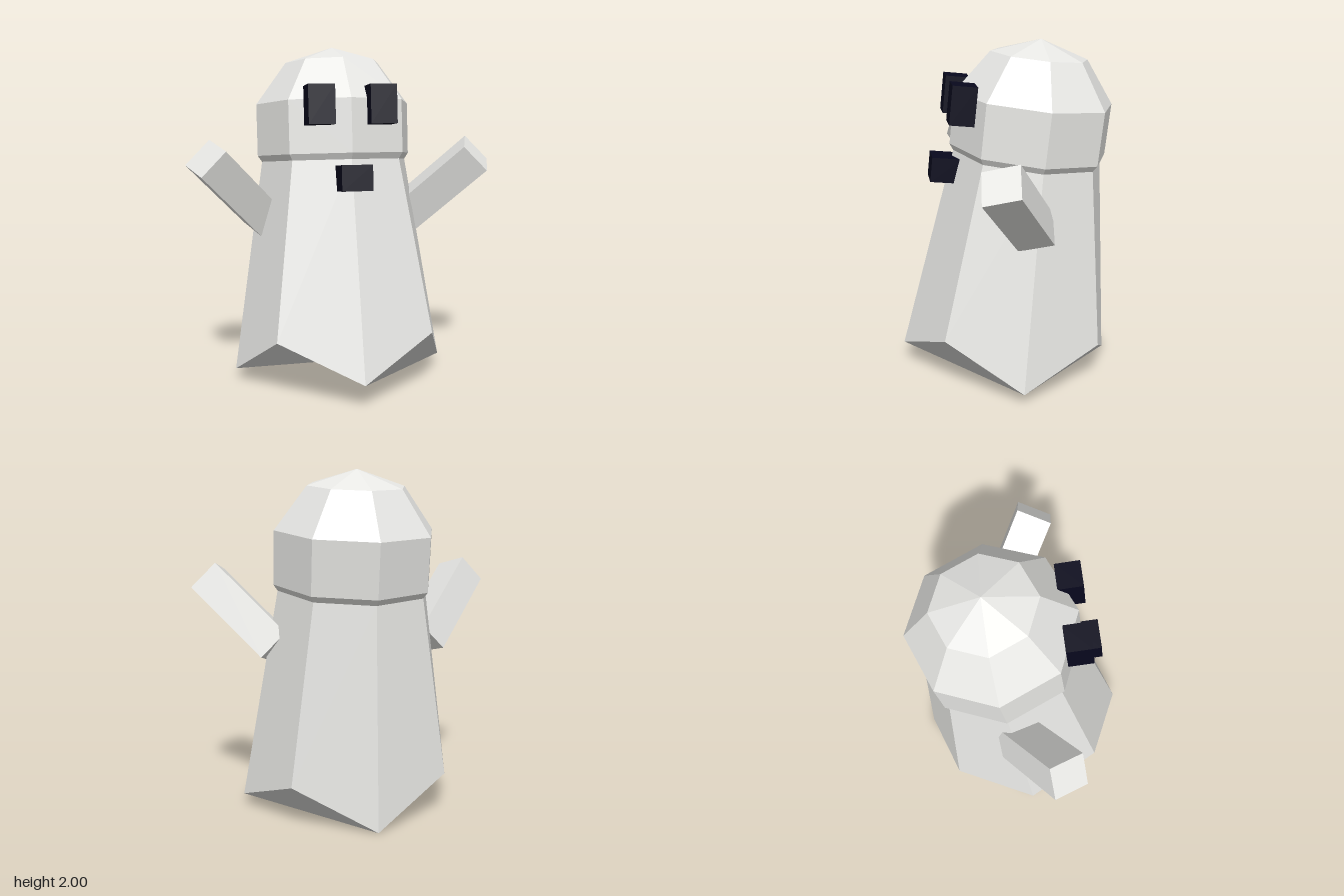
import * as THREE from 'three';

const TILT = 0.1087; // whole figure leans back slightly
const SIDES = 8;

// Gives every run of `size` corners one shared normal, so bent panels shade as one facet
function facet(geometry, size) {
  const g = geometry.index ? geometry.toNonIndexed() : geometry;
  const p = g.attributes.position;
  const normals = [];
  const [a, b, c] = [0, 1, 2].map(() => new THREE.Vector3());
  for (let start = 0; start < p.count; start += size) {
    const n = new THREE.Vector3();
    for (let i = start; i < start + size; i += 3) {
      a.fromBufferAttribute(p, i);
      b.fromBufferAttribute(p, i + 1).sub(a);
      c.fromBufferAttribute(p, i + 2).sub(a);
      n.add(b.cross(c));
    }
    n.normalize();
    for (let i = 0; i < size; i++) normals.push(n.x, n.y, n.z);
  }
  g.setAttribute('normal', new THREE.Float32BufferAttribute(normals, 3));
  return g;
}

export function createModel() {
  const model = new THREE.Group();
  model.name = 'ghostFigure';
  const white = new THREE.MeshStandardMaterial({ color: 0xe8e8e5 });
  white.name = 'paleSheet';
  const dark = new THREE.MeshStandardMaterial({ color: 0x08081d });
  dark.name = 'darkNavy';

  const add = (parent, name, geometry, material, size = 6) => {
    const mesh = new THREE.Mesh(facet(geometry, size), material);
    mesh.name = name;
    parent.add(mesh);
    return mesh;
  };

  // Leaning core: robe, hem and head share one axis
  const core = new THREE.Group();
  core.name = 'leaningBody';
  core.position.set(0, 0.07, 0.002);
  core.rotation.x = -TILT;
  model.add(core);

  // Robe: tapered octagon whose every second bottom corner is lifted
  const top = 1.252, hemRadius = 0.646, lift = 0.231;
  const robe = new THREE.CylinderGeometry(0.45, hemRadius, top, SIDES, 1, true);
  robe.translate(0, top / 2, 0);
  const p = robe.attributes.position;
  for (let i = 1; i <= SIDES; i += 2) p.setY(SIDES + 1 + i, lift);
  add(core, 'robe', robe, white);

  // Underside: one zigzag panel fanned out from the left corner
  const corner = (i) => {
    const a = (i / SIDES) * Math.PI * 2;
    return [hemRadius * Math.sin(a), i % 2 ? lift : 0, hemRadius * Math.cos(a)];
  };
  const fan = [];
  for (let k = 1; k < SIDES - 1; k++) {
    fan.push(...corner(2), ...corner(2 + k + 1), ...corner(2 + k));
  }
  const underside = new THREE.BufferGeometry();
  underside.setAttribute('position', new THREE.Float32BufferAttribute(fan, 3));
  add(core, 'underside', underside, white, fan.length / 3);

  // Head: faceted dome with a small lip at the neck
  const profile = [[0.45, top], [0.475, 1.288], [0.475, 1.598], [0.29, 1.847], [0, 1.941]]
    .map(([r, y]) => new THREE.Vector2(r, y));
  add(core, 'head', new THREE.LatheGeometry(profile, SIDES), white);

  // Eyes and arms, mirrored
  for (const s of [1, -1]) {
    const side = s > 0 ? 'left' : 'right';
    const eye = add(model, side + 'Eye', new THREE.BoxGeometry(0.153, 0.222, 0.142), dark);
    eye.position.set(s * 0.178, 1.668, 0.278);
    eye.rotation.x = -TILT;

    // Arm reaches outward, up and forward
    const along = new THREE.Vector3(s * 0.62, 0.67, 0.44).normalize();
    const across = new THREE.Vector3(s * 0.71, -0.69, 0.1);
    across.addScaledVector(along, -across.dot(along)).normalize();
    const depth = new THREE.Vector3().crossVectors(across, along);
    const arm = add(model, side + 'Arm', new THREE.BoxGeometry(0.2, 0.585, 0.212), white);
    arm.quaternion.setFromRotationMatrix(new THREE.Matrix4().makeBasis(across, along, depth));
    arm.position.set(s * 0.63, 1.176, 0.034);
  }

  // Mouth block, set into the chest
  const mouth = add(model, 'mouth', new THREE.BoxGeometry(0.178, 0.146, 0.17), dark);
  mouth.position.set(0, 1.262, 0.368);
  mouth.rotation.x = -TILT;

  return model;
}
